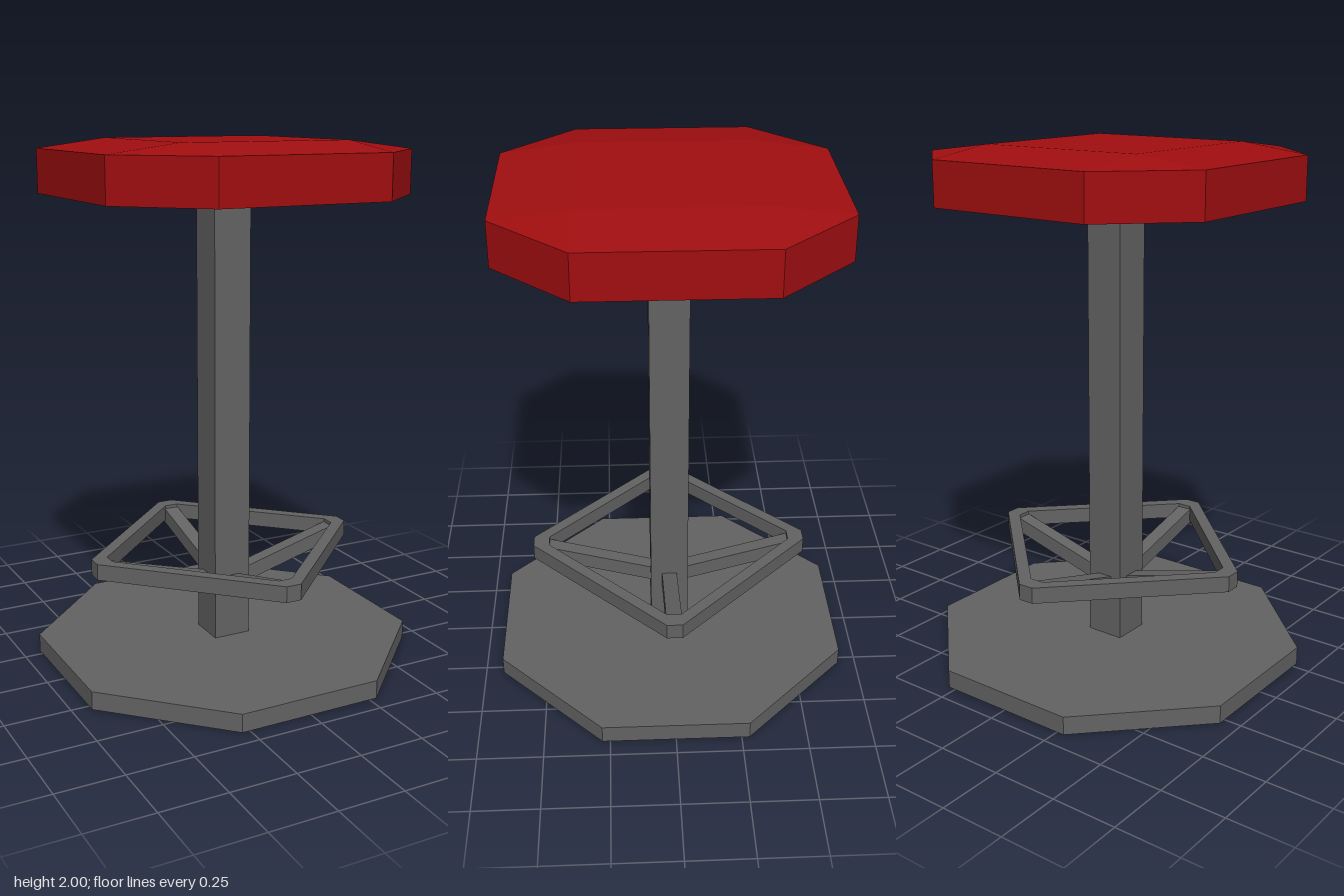
import * as THREE from 'three';
import { ConvexGeometry } from 'three/addons/geometries/ConvexGeometry.js';

const metal = new THREE.MeshStandardMaterial({ color: 0x636363 });
metal.name = 'grey metal';
const cushionRed = new THREE.MeshStandardMaterial({ color: 0xa10e10 });
cushionRed.name = 'red cushion';

// Octagon reaching r along both axes, with corners at offset c
function octagon(r, c) {
  return [[r, -c], [r, c], [c, r], [-c, r], [-r, c], [-r, -c], [-c, -r], [c, -r]]
    .map(([x, y]) => new THREE.Vector2(x, y));
}

// Horizontal slab from a plan outline, with an optional hole
function slab(outline, y0, y1, hole) {
  const shape = new THREE.Shape(outline);
  if (hole) shape.holes.push(new THREE.Path(hole));
  return new THREE.ExtrudeGeometry(shape, { depth: y1 - y0, bevelEnabled: false })
    .rotateX(-Math.PI / 2)
    .translate(0, y0, 0);
}

export function createModel() {
  const stool = new THREE.Group();
  stool.name = 'barStool';

  function add(name, geometry, material, parent = stool) {
    const mesh = new THREE.Mesh(geometry, material);
    mesh.name = name;
    parent.add(mesh);
    return mesh;
  }

  // Floor plate and square post
  add('base', slab(octagon(0.68, 0.28), 0, 0.07), metal);
  add('post', new THREE.BoxGeometry(0.15, 1.74, 0.15).translate(0, 0.935, 0), metal);

  // Seat: octagonal block whose top slopes up to a flat square
  const rim = octagon(0.606, 0.332);
  const level = (y) => rim.map((p) => new THREE.Vector3(p.x, y, p.y));
  const crown = [];
  for (const x of [-0.332, 0.332]) {
    for (const z of [-0.332, 0.332]) crown.push(new THREE.Vector3(x, 2, z));
  }
  add('seat', new ConvexGeometry([...level(1.8), ...level(1.965), ...crown]), cushionRed);

  // Diamond foot ring with blunt corners
  const footrest = new THREE.Group();
  footrest.name = 'footrest';
  stool.add(footrest);
  add('footRing', slab(octagon(0.548, 0.03), 0.385, 0.447, octagon(0.485, 0.027)), metal, footrest);

  // Four sloping struts from the post to the ring corners
  const side = new THREE.Shape([
    new THREE.Vector2(0.07, 0.26),
    new THREE.Vector2(0.53, 0.386),
    new THREE.Vector2(0.53, 0.446),
    new THREE.Vector2(0.07, 0.322),
  ]);
  const strut = new THREE.ExtrudeGeometry(side, { depth: 0.06, bevelEnabled: false })
    .translate(0, 0, -0.03);
  ['left', 'back', 'right', 'front'].forEach((name, i) => {
    add(name + 'Strut', strut, metal, footrest).rotation.y = (i * Math.PI) / 2;
  });

  return stool;
}
